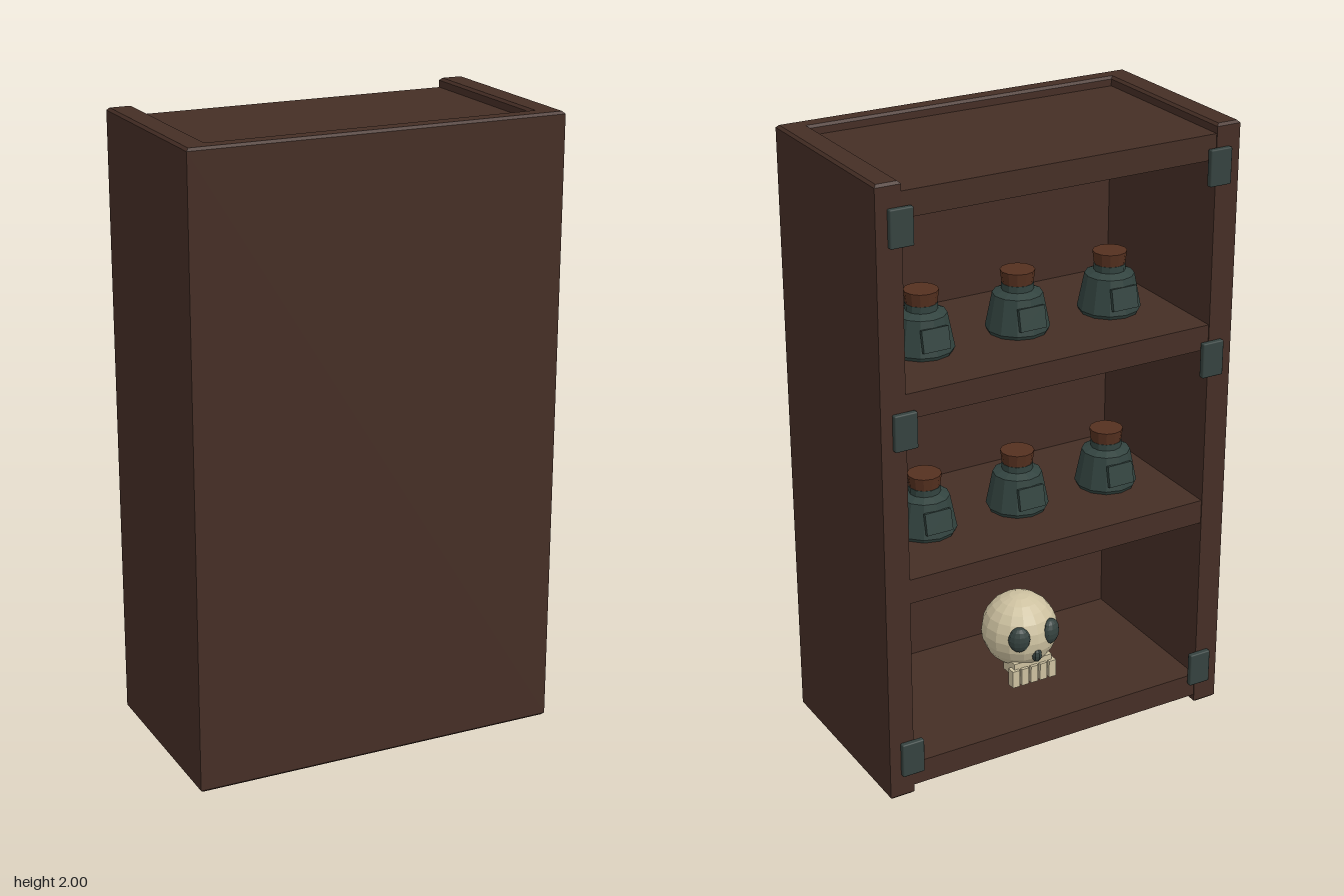
import * as THREE from 'three';
import { RoundedBoxGeometry } from 'three/addons/geometries/RoundedBoxGeometry.js';

const mat = (name, color, flatShading = false) => {
  const m = new THREE.MeshStandardMaterial({ color, flatShading });
  m.name = name;
  return m;
};

export function createModel() {
  const wood = mat('dark wood', 0x452e25);
  const iron = mat('iron', 0x35423f);
  const glass = mat('dark glass', 0x32433f, true);
  const cork = mat('cork', 0x55301f, true);
  const bone = mat('bone', 0xcdc1a0, true);
  const socket = mat('socket', 0x35423f, true);

  const cabinet = new THREE.Group();
  cabinet.name = 'cabinet';
  const add = (parent, name, geometry, material, x = 0, y = 0, z = 0) => {
    const mesh = new THREE.Mesh(geometry, material);
    mesh.name = name;
    mesh.position.set(x, y, z);
    parent.add(mesh);
    return mesh;
  };

  // Carcass: closed front and two sides, open towards -z
  const b = 0.008;
  const outline = [
    [-0.607, -0.33], [0.607, -0.33], [0.607, 0.315], [0.525, 0.315],
    [0.525, -0.27], [-0.525, -0.27], [-0.525, 0.315], [-0.607, 0.315],
  ].map(([x, y]) => new THREE.Vector2(x, y));
  const frame = new THREE.ExtrudeGeometry(new THREE.Shape(outline), {
    depth: 2 - 2 * b, bevelEnabled: true, bevelSize: b, bevelThickness: b,
    bevelOffset: -b, bevelSegments: 1,
  });
  frame.rotateX(-Math.PI / 2);
  add(cabinet, 'frontAndSides', frame, wood, 0, b, 0);

  // Top, two shelves and floor
  const boards = [['topBoard', 1.97], ['upperShelf', 1.36], ['lowerShelf', 0.755], ['floorBoard', 0.11]];
  for (const [name, top] of boards) {
    add(cabinet, name, new THREE.BoxGeometry(1.07, 0.08, 0.6), wood, 0, top - 0.04, -0.012);
  }

  // Hinge plates on the rear edges of the sides
  for (const x of [-0.533, 0.533]) {
    for (const y of [0.14, 1.25, 1.87]) {
      add(cabinet, 'hinge', new RoundedBoxGeometry(0.075, 0.115, 0.02, 1, 0.004), iron, x, y, -0.323);
    }
  }

  // Corked bottles with a raised label
  const profile = [[0, 0], [0.094, 0], [0.1, 0.012], [0.078, 0.122], [0.05, 0.134], [0.05, 0.155], [0, 0.155]]
    .map(([x, y]) => new THREE.Vector2(x, y));
  const bottleGeometry = new THREE.LatheGeometry(profile, 12);
  const corkGeometry = new THREE.CylinderGeometry(0.054, 0.048, 0.045, 12);
  const labelGeometry = new THREE.BoxGeometry(0.09, 0.07, 0.012);
  for (const y of [1.36, 0.755]) {
    for (const x of [-0.33, 0, 0.33]) {
      const bottle = new THREE.Group();
      bottle.name = 'bottle';
      bottle.position.set(x, y, -0.045);
      add(bottle, 'bottleGlass', bottleGeometry, glass);
      add(bottle, 'stopper', corkGeometry, cork, 0, 0.173, 0);
      add(bottle, 'label', labelGeometry, glass, 0, 0.065, -0.088).rotation.x = 0.2;
      cabinet.add(bottle);
    }
  }

  // Skull facing the open side
  const skull = new THREE.Group();
  skull.name = 'skull';
  skull.position.set(0, 0.315, -0.06);
  add(skull, 'cranium', new THREE.SphereGeometry(0.125, 16, 12), bone);
  add(skull, 'upperJaw', new THREE.BoxGeometry(0.14, 0.05, 0.07), bone, 0, -0.1, -0.055);
  for (const side of [-1, 1]) {
    const eye = add(skull, 'eyeSocket', new THREE.SphereGeometry(1, 12, 8), socket, side * 0.058, 0.02, -0.1);
    eye.scale.set(0.036, 0.044, 0.025);
    eye.rotation.y = side * -0.45;
  }
  add(skull, 'noseSocket', new THREE.SphereGeometry(1, 8, 6), socket, 0, -0.045, -0.112).scale.set(0.017, 0.026, 0.018);
  for (let i = -2; i <= 2; i++) {
    add(skull, 'tooth', new THREE.BoxGeometry(0.026, 0.06, 0.03), bone, i * 0.034, -0.125, -0.085);
  }
  cabinet.add(skull);

  return cabinet;
}
